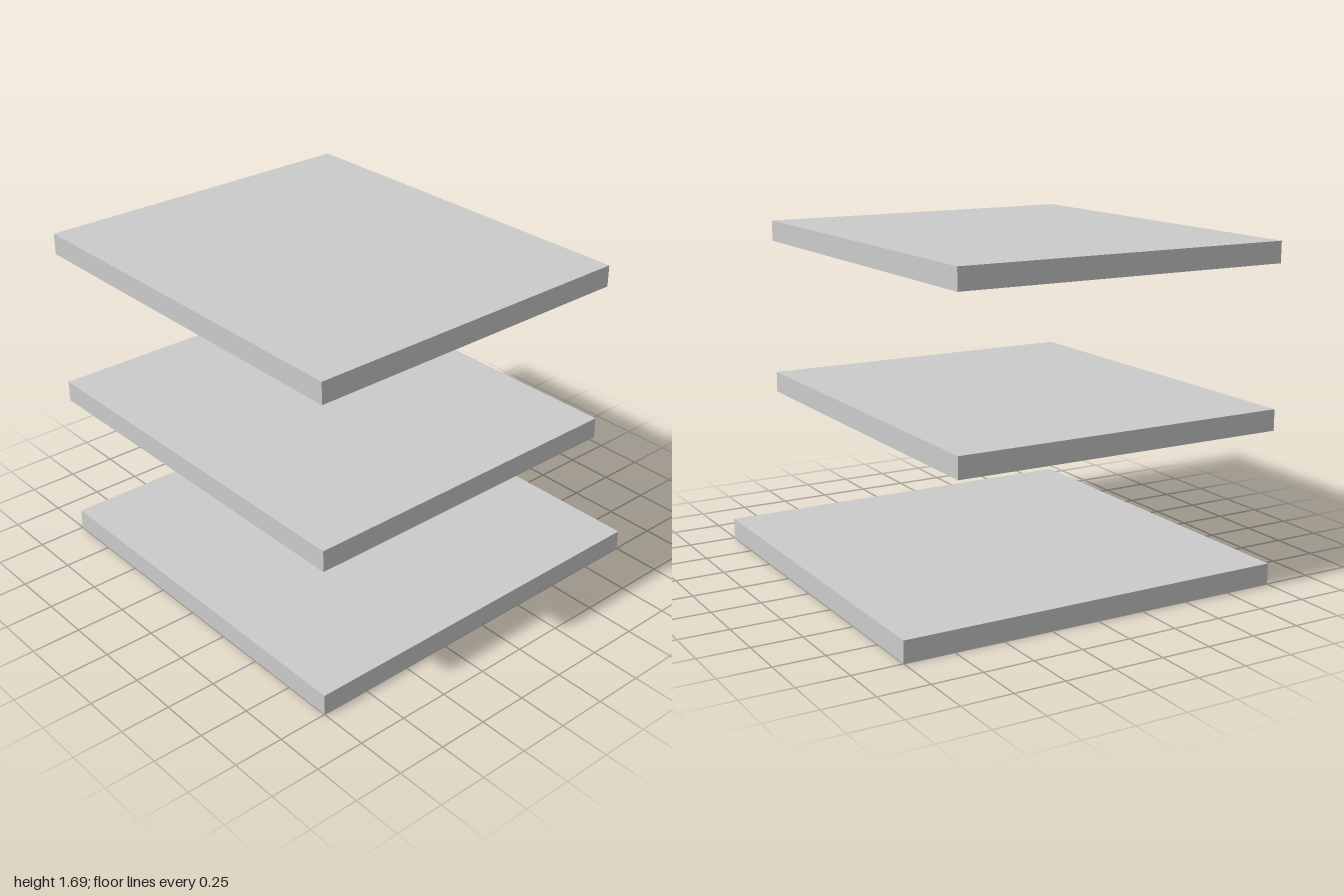
import * as THREE from 'three';

const THICKNESS = 0.106;
const FRONT = 1; // all slabs line up at the front

export function createModel() {
  const group = new THREE.Group();
  const material = new THREE.MeshStandardMaterial({ color: 0xcccccc });

  // Three floating slabs; the upper two stop short at the back
  const slabs = [
    { name: 'bottomSlab', y: 0, back: -1 },
    { name: 'middleSlab', y: 0.776, back: -0.73 },
    { name: 'topSlab', y: 1.584, back: -0.73 },
  ];
  for (const { name, y, back } of slabs) {
    const slab = new THREE.Mesh(new THREE.BoxGeometry(2, THICKNESS, FRONT - back), material);
    slab.name = name;
    slab.position.set(0, y + THICKNESS / 2, (FRONT + back) / 2);
    group.add(slab);
  }
  return group;
}
